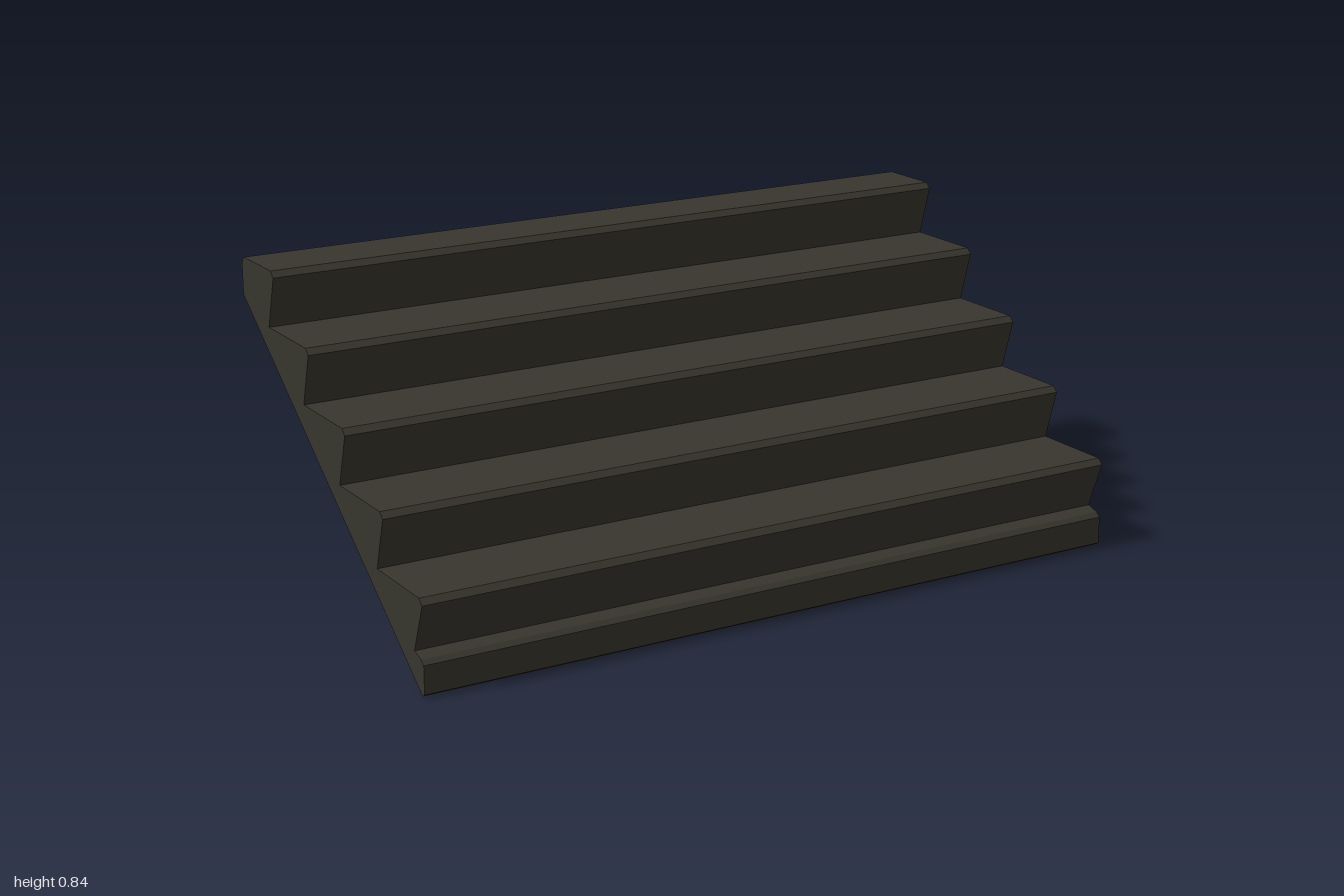
import * as THREE from 'three';

const WIDTH = 2, STEPS = 5, RISE = 0.15, RUN = 0.2, BEVEL = 0.015;

export function createModel() {
  const model = new THREE.Group();
  model.name = 'staircase';
  const darkStone = new THREE.MeshStandardMaterial({ color: 0x38362d });
  darkStone.name = 'dark stone';

  // Side profile as (z, y): toe kerb first
  const profile = [[0.489, 0], [0.5, 0.007], [0.5, 0.08], [0.487, 0.091]];

  // Each step: foot of the undercut riser, then its bevelled nose
  for (let i = 0; i < STEPS; i++) {
    const nose = 0.5 - RUN * i;
    const top = 0.242 + RISE * i;
    profile.push(i === 0 ? [0.453, 0.101] : [nose + -0.04, top - RISE]);
    profile.push([nose, top - BEVEL], [nose - BEVEL, top]);
  }

  // Bevelled back edge of the top step, then the sloping underside closes the shape
  const top = 0.242 + RISE * (STEPS - 1);
  profile.push([-0.5 + BEVEL, top], [-0.5, top - BEVEL], [-0.5, 0.742]);

  const shape = new THREE.Shape(profile.map(([z, y]) => new THREE.Vector2(z, y)));
  const geometry = new THREE.ExtrudeGeometry(shape, { depth: WIDTH, bevelEnabled: false });
  geometry.translate(0, 0, -WIDTH / 2);
  geometry.rotateY(-Math.PI / 2);

  const stairs = new THREE.Mesh(geometry, darkStone);
  stairs.name = 'stairFlight';
  model.add(stairs);
  return model;
}
